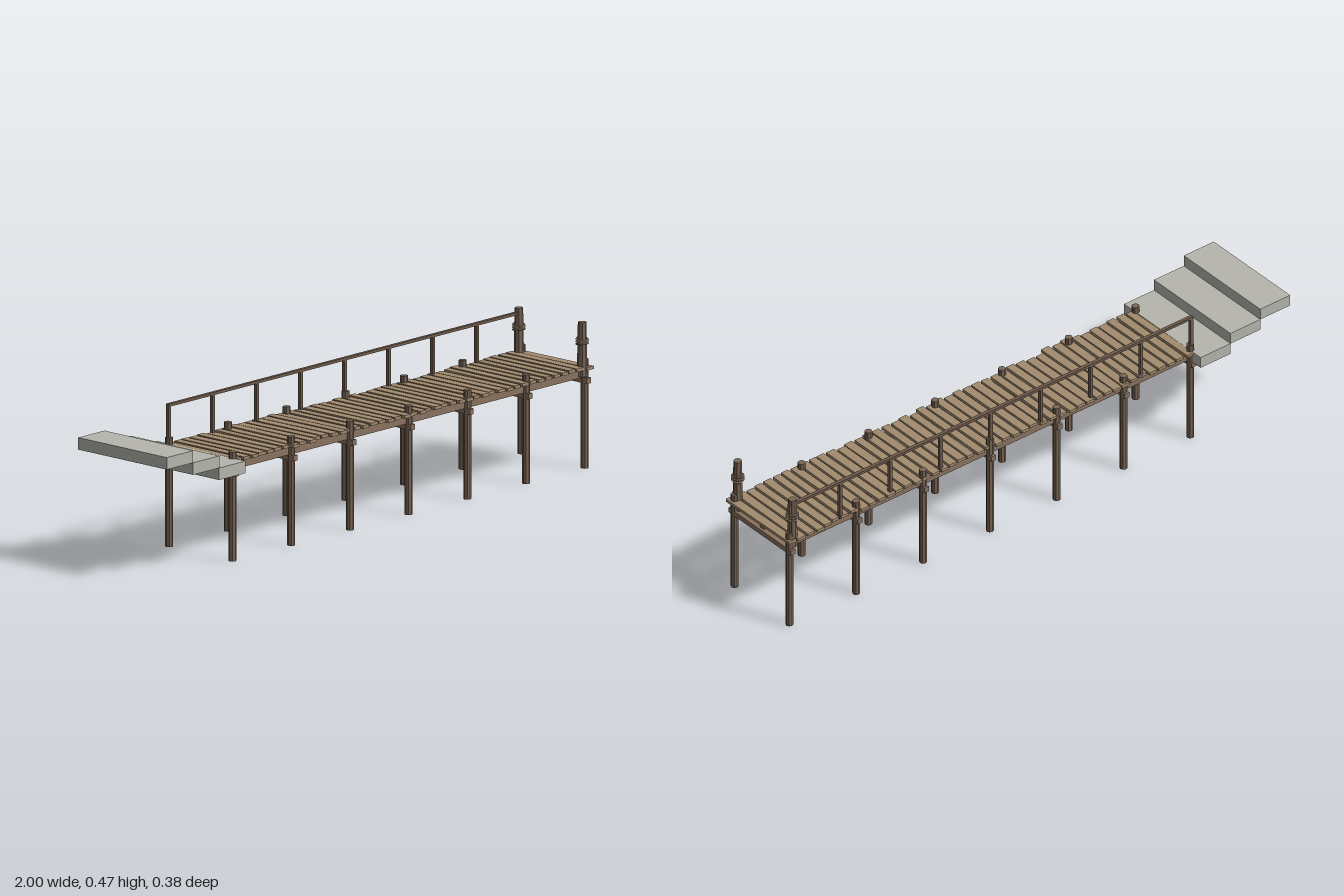
import * as THREE from 'three';

const mat = (name, color) => {
  const m = new THREE.MeshStandardMaterial({ color });
  m.name = name;
  return m;
};

export function createModel() {
  const dock = new THREE.Group();
  dock.name = 'dock';
  const plankWood = mat('plank wood', 0xa38c70);
  const beamWood = mat('beam wood', 0x8a7360);
  const pileWood = mat('pile wood', 0x7a6656);
  const railWood = mat('rail wood', 0x6e5b4c);
  const ropeTan = mat('rope', 0xa8957a);
  const stone = mat('pale stone', 0xb6b6ae);

  const add = (name, geo, m, x, y, z, parent = dock) => {
    const mesh = new THREE.Mesh(geo, m);
    mesh.name = name;
    mesh.position.set(x, y, z);
    parent.add(mesh);
    return mesh;
  };
  const post = (rTop, rBottom, h, sides) => {
    const g = new THREE.CylinderGeometry(rTop, rBottom, h, sides).toNonIndexed();
    g.computeVertexNormals();
    return g;
  };

  // Seeded jitter in -1..1 for the rough planks
  let seed = 11;
  const jitter = () => {
    seed = (seed * 16807) % 2147483647;
    return (seed / 2147483647) * 2 - 1;
  };

  const x0 = -0.64, x1 = 0.98, side = 0.135;

  // Piles in pairs, each pair joined by a cross beam
  const pile = post(0.0125, 0.0125, 0.352, 8);
  const crossBeam = new THREE.BoxGeometry(0.018, 0.018, 0.308);
  for (let i = 0; i < 7; i++) {
    const x = x0 + (i * (x1 - x0)) / 6;
    for (const s of [-1, 1]) add('pile', pile, pileWood, x, 0.176, s * side);
    add('crossBeam', crossBeam, beamWood, x, 0.284, 0);
  }

  // Lengthwise stringers under the deck
  const stringer = new THREE.BoxGeometry(x1 - x0, 0.027, 0.02);
  for (const z of [-0.125, 0, 0.125]) add('stringer', stringer, beamWood, (x0 + x1) / 2, 0.3065, z);

  // Uneven deck planks
  const planks = new THREE.Group();
  planks.name = 'deck';
  dock.add(planks);
  const count = 45;
  for (let i = 0; i < count; i++) {
    const width = 0.029 + 0.003 * jitter();
    const length = 0.3 + 0.014 * jitter();
    const x = -0.624 + (i * 1.606) / (count - 1);
    const plank = add('plank', new THREE.BoxGeometry(width, 0.01, length), plankWood,
      x, 0.325 + 0.0012 * jitter(), 0.005 * jitter(), planks);
    plank.rotation.y = 0.018 * jitter();
  }

  // Handrail along the back edge
  const railing = new THREE.Group();
  railing.name = 'railing';
  dock.add(railing);
  const railPost = new THREE.BoxGeometry(0.011, 0.14, 0.011);
  for (let i = 0; i < 9; i++) {
    add('railPost', railPost, railWood, x0 + (i * (x1 - x0)) / 8, 0.388, -0.138, railing);
  }
  add('handrail', new THREE.BoxGeometry(x1 - x0 + 0.01, 0.009, 0.012), railWood,
    (x0 + x1) / 2, 0.455, -0.138, railing);

  // Mooring posts at the far end, wrapped with rope
  const mooring = post(0.0135, 0.0165, 0.175, 8);
  const coil = new THREE.TorusGeometry(0.0185, 0.0028, 6, 16);
  for (const s of [-1, 1]) {
    add('mooringPost', mooring, pileWood, 0.968, 0.3855, s * side);
    for (let k = 0; k < 3; k++) {
      const ring = add('ropeCoil', coil, ropeTan, 0.968, 0.403 + k * 0.007, s * side);
      ring.rotation.set(Math.PI / 2 + (k - 1) * 0.16, 0.08 * (k - 1), 0);
    }
  }

  // Stone steps rising from the deck to the shore
  const step = new THREE.BoxGeometry(0.121, 0.039, 0.378);
  for (let i = 0; i < 3; i++) {
    add('stoneStep', step, stone, -0.6985 - i * 0.1205, 0.3105 + i * 0.039, 0);
  }

  return dock;
}
